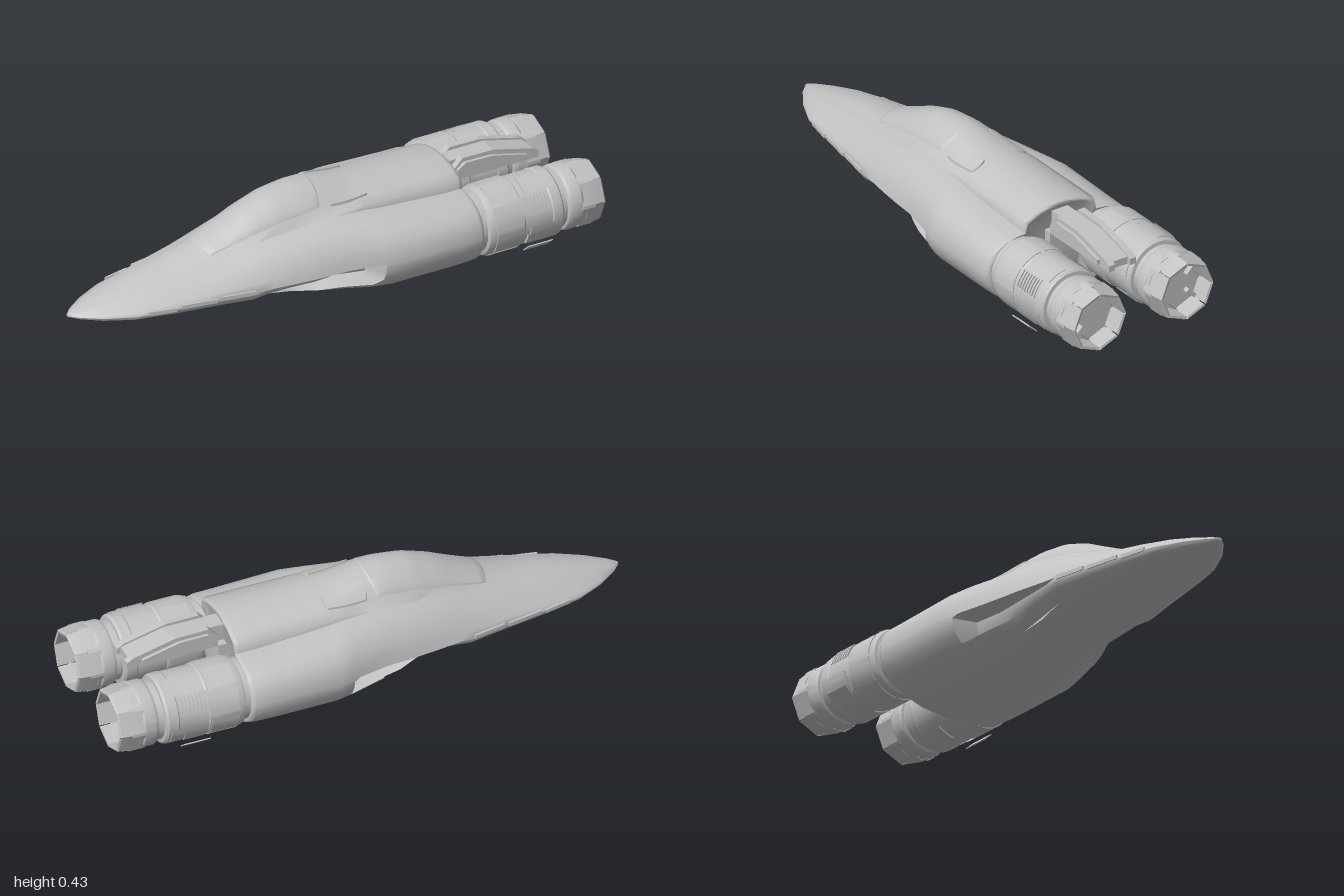
import * as THREE from 'three';
import { toCreasedNormals } from 'three/addons/utils/BufferGeometryUtils.js';

const hullGrey = new THREE.MeshStandardMaterial({ color: 0xc2c2c2, side: THREE.DoubleSide });

// Hull stations, nose to tail: x, top, bottom, half width, chine height, spine half width, spine edge height, intake depth
const STATIONS = [
  [-1, .156, .144, .008, .15, .004, .154, 0],
  [-.97, .166, .136, .04, .15, .02, .162, 0],
  [-.9, .188, .125, .09, .15, .04, .18, 0],
  [-.8, .215, .115, .138, .152, .06, .203, 0],
  [-.65, .252, .102, .17, .158, .08, .23, 0],
  [-.5, .284, .095, .198, .165, .095, .252, 0],
  [-.36, .35, .088, .224, .167, .112, .283, 0],
  [-.3, .38, .086, .234, .168, .12, .295, .018],
  [-.2, .415, .072, .25, .17, .13, .31, .042],
  [-.1, .426, .05, .262, .172, .138, .32, .062],
  [-.02, .422, .03, .27, .175, .142, .325, .076],
  [.09, .4, .006, .292, .175, .147, .335, .085],
  [.115, .398, .004, .298, .175, .147, .337, 0],
  [.17, .394, .002, .312, .175, .148, .338, 0],
  [.42, .38, 0, .313, .175, .148, .338, 0],
  [.49, .375, .003, .312, .175, .148, .337, 0],
];

function stationAt(x) {
  let i = 0;
  while (i < STATIONS.length - 2 && STATIONS[i + 1][0] < x) i++;
  const a = STATIONS[i], b = STATIONS[i + 1];
  const k = (x - a[0]) / (b[0] - a[0]);
  return a.map((v, n) => v + (b[n] - v) * k);
}

const spineY = (st, z) => st[6] + (st[1] - st[6]) * (1 - Math.abs(z / st[5]) ** 2.1);

// Half section from spine to keel as [z, y]
function halfSection(st) {
  const [x, , b, w, c, s, e, dent] = st;
  const pts = [0, .2, .4, .6, .8, 1].map(u => [u * s, spineY(st, u * s)]);
  const blend = THREE.MathUtils.clamp(x / .3, 0, 1);
  const round = THREE.MathUtils.clamp((x + .8) / .95, .15, 1);
  const s2 = s + .001 + .006 * blend, e2 = e - .037 * blend;
  for (let i = 0; i <= 6; i++) {
    const f = i / 6, a = f * Math.PI / 2;
    const zf = f + (Math.sin(a) - f) * round;
    const yf = Math.max(0, 1 - f + (Math.cos(a) - 1 + f) * round);
    pts.push([s2 + (w - s2) * zf, c + (e2 - c) * yf ** (1 - .15 * blend)]);
  }
  // Lower side, cut in above the intake lip
  for (const f of [.06, .2, .4, .56, .7, .83, .94, 1]) {
    const y = c - (c - b) * f;
    pts.push([w * Math.pow(1 - f ** 2.2, 1 / 2.1) - (y > .1 ? dent : 0), y]);
  }
  return pts;
}

function loft(rings) {
  const n = rings[0].length, pos = [], idx = [];
  rings.forEach(r => r.forEach(p => pos.push(...p)));
  for (let i = 0; i < rings.length - 1; i++) {
    for (let j = 0; j < n; j++) {
      const a = i * n + j, b = i * n + (j + 1) % n;
      idx.push(a, b, a + n, b, b + n, a + n);
    }
  }
  const g = new THREE.BufferGeometry();
  g.setAttribute('position', new THREE.Float32BufferAttribute(pos, 3));
  g.setIndex(idx);
  return g;
}

function hullGeometry() {
  const rings = STATIONS.map(st => {
    const half = halfSection(st);
    const other = half.slice(1, -1).reverse().map(([z, y]) => [-z, y]);
    return [...half, ...other].map(([z, y]) => [st[0], y, z]);
  });
  // Rounded tail rim and closed rear wall
  const last = rings[rings.length - 1];
  const shrink = (x, k) => last.map(([, y, z]) => [x, .18 + (y - .18) * k, z * k]);
  rings.push(shrink(.502, .99), shrink(.507, .965), shrink(.506, .93), shrink(.5, .88), shrink(.498, 0));
  rings.unshift(rings[0].map(() => [-1, .15, 0]));
  return toCreasedNormals(loft(rings), .95);
}

// Rounded plate lying on the spine, with bevelled edges that sink into the hull
function spinePlate(x0, x1, zc, half, taper, corner, lift) {
  const g = new THREE.PlaneGeometry(2, 2, 20, 20);
  const p = g.attributes.position;
  const spread = t => Math.abs(t) > .99 ? t : t * 1.07;
  for (let i = 0; i < p.count; i++) {
    const px = p.getX(i), py = p.getY(i);
    const edge = Math.max(Math.abs(px), Math.abs(py)) > .99;
    const a = spread(px), b = spread(py);
    const u = a * Math.sqrt(1 - corner * b * b), v = b * Math.sqrt(1 - corner * a * a);
    const x = (x0 + x1) / 2 + u * (x1 - x0) / 2;
    const z = zc - v * half * (1 - taper * (1 - u) / 2);
    p.setXYZ(i, x, spineY(stationAt(x), z) + (edge ? -.003 : lift), z);
  }
  return toCreasedNormals(g, .5);
}

// Surface of revolution about x; points are [radius, x]
function turned(points, segs, start = 0, arc = Math.PI * 2) {
  const g = new THREE.LatheGeometry(points.map(([r, x]) => new THREE.Vector2(r, x)), segs, start, arc);
  return toCreasedNormals(g.rotateZ(-Math.PI / 2), .5);
}

// Curved panel; angle runs from the outboard side (0) upward
function shell(x0, x1, r0, r1, angle, arc, segs = 4) {
  return turned([[r0, x0], [r1, x0], [r1, x1], [r0, x1]], segs, -angle - arc / 2, arc);
}

function add(parent, name, geometry) {
  const m = new THREE.Mesh(geometry, hullGrey);
  m.name = name;
  parent.add(m);
  return m;
}

function createEngine() {
  const e = new THREE.Group();
  add(e, 'nacelle', turned([[.11, .49], [.11, .525], [.122, .53], [.127, .545], [.127, .665], [.124, .67],
    [.124, .78], [.127, .785], [.126, .82], [.12, .828], [.106, .83], [.104, .86]], 28));
  add(e, 'nozzleRing', turned([[.1, .85], [.114, .855], [.119, .865], [.119, .905], [.114, .912], [.1, .92]], 24));
  for (let i = 0; i < 8; i++) {
    const a = (i + .5) * Math.PI / 4;
    // Flat exhaust petals with narrow gaps
    add(e, 'nozzlePetal', turned([[.112, .9], [.122, .905], [.121, .945], [.114, .995], [.11, 1], [.101, .998], [.102, .92]],
      1, a - .375, .75));
    add(e, 'petalRib', shell(.9, .955, .115, .122, a + Math.PI / 8, .1, 1));
    // Raised nacelle cover panels
    add(e, 'coverPanel', shell(.555, .66, .12, .13, a, .7));
    if (i % 2) add(e, 'rearPanel', shell(.69, .81, .12, .129, a, .6));
  }
  const back = add(e, 'exhaustPlate', new THREE.CircleGeometry(.116, 24).rotateY(Math.PI / 2));
  back.position.x = .925;
  const core = add(e, 'exhaustCore', new THREE.CylinderGeometry(.1, .105, .008, 4).rotateZ(-Math.PI / 2));
  core.position.x = .928;
  for (const y of [-1, 1]) {
    const vane = add(e, 'exhaustVane', new THREE.BoxGeometry(.025, .045, .015));
    vane.position.set(.94, y * .045, .052);
    vane.rotation.x = y * Math.PI / 4;
  }
  // Slatted vent on the outboard shoulder
  add(e, 'ventFrame', shell(.665, .775, .118, .128, .55, .58));
  for (let i = 0; i < 7; i++) add(e, 'ventSlat', shell(.675 + i * .014, .682 + i * .014, .12, .134, .55, .5));
  // Lower outboard flap and its bracket
  const flap = add(e, 'flap', new THREE.BoxGeometry(.1, .045, .004));
  flap.position.set(.72, -.09, .122);
  flap.rotation.x = .85;
  add(e, 'flapBracket', shell(.68, .76, .118, .132, -.5, .4));
  return e;
}

// Side profile pulled across z
function slab(points, z0, z1) {
  const s = new THREE.Shape(points.map(p => new THREE.Vector2(...p)));
  return new THREE.ExtrudeGeometry(s, { depth: z1 - z0, bevelEnabled: false }).translate(0, 0, z0);
}

export function createModel() {
  const ship = new THREE.Group();
  ship.name = 'spacecraft';
  add(ship, 'hull', hullGeometry());
  add(ship, 'canopy', spinePlate(-.49, -.025, 0, .126, .32, .15, .003));
  add(ship, 'centreHump', slab([[.49, .277], [.49, .345], [.7, .345], [.86, .305], [.86, .277]], -.034, .034));
  // Rounded wall between the engines
  add(ship, 'tailWall', toCreasedNormals(slab([[.49, .04], [.502, .045], [.515, .08], [.525, .14], [.53, .2], [.53, .28], [.49, .28]], -.062, .062), .6));

  for (const side of [1, -1]) {
    add(ship, 'spineHatch', spinePlate(-.015, .15, side * .09, .032, 0, .2, .007));
    // Rails of the hump between the engines
    const z = (a, b) => side > 0 ? [a, b] : [-b, -a];
    add(ship, 'humpRail', slab([[.53, .276], [.53, .32], [.565, .357], [.69, .355], [.85, .315], [.873, .3], [.873, .276]], ...z(.032, .058)));
    add(ship, 'humpCheek', slab([[.54, .285], [.54, .32], [.57, .342], [.68, .34], [.82, .305], [.82, .285]], ...z(.058, .07)));
    // Narrow strips along the chine
    for (const [x0, x1] of [[-.76, -.66], [-.64, -.51], [-.49, -.37]]) {
      const a = stationAt(x0), b = stationAt(x1);
      const strip = add(ship, 'chineStrip', new THREE.BoxGeometry(Math.hypot(x1 - x0, b[3] - a[3]), .014, .008));
      strip.position.set((x0 + x1) / 2, (a[4] + b[4]) / 2, side * (a[3] + b[3]) / 2);
      strip.rotation.y = -side * Math.atan2(b[3] - a[3], x1 - x0);
    }
    const engine = createEngine();
    engine.name = side > 0 ? 'leftEngine' : 'rightEngine';
    engine.position.set(0, .178, side * .187);
    engine.scale.z = side;
    ship.add(engine);
  }
  return ship;
}
